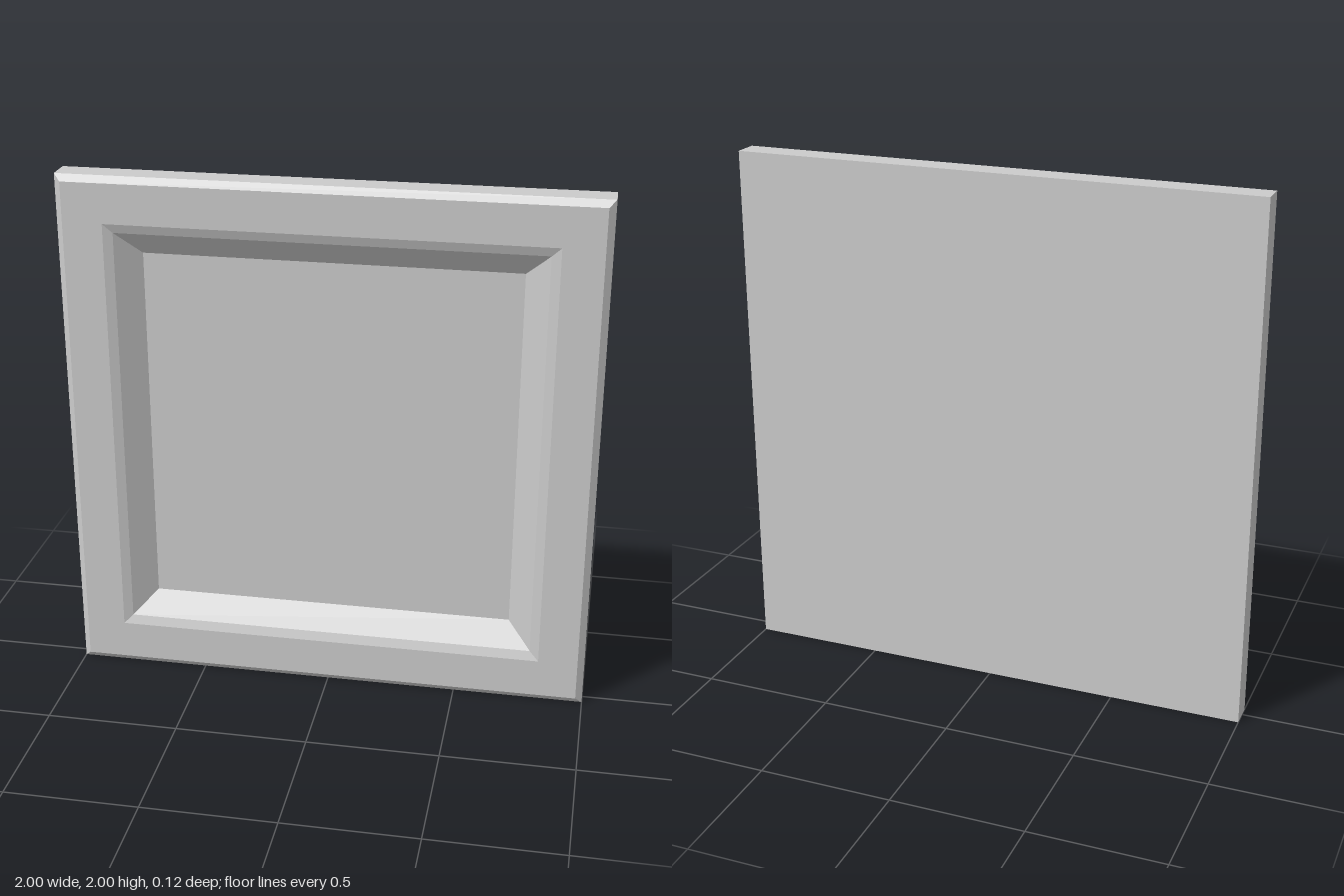
import * as THREE from 'three';

// Square rings [half size, z], from the back rim over the frame and down into the recess
const RINGS = [
  [1.0, -0.06],
  [1.0, 0.04], // outer edge
  [0.975, 0.06], // outer chamfer
  [0.825, 0.06], // flat frame face
  [0.79, 0.047], // shallow lip
  [0.7, -0.022], // steep inner slope
];
const CORNERS = [[-1, -1], [1, -1], [1, 1], [-1, 1]];

function panelGeometry() {
  const positions = [];
  const point = ([half, z], i) => {
    const [cx, cy] = CORNERS[i % 4];
    return [cx * half, 1 + cy * half, z];
  };
  const quad = (a, b, c, d) => positions.push(...a, ...b, ...c, ...a, ...c, ...d);

  // Mitred bands between neighbouring rings
  for (let r = 0; r < RINGS.length - 1; r++) {
    for (let i = 0; i < 4; i++) {
      quad(point(RINGS[r], i), point(RINGS[r], i + 1), point(RINGS[r + 1], i + 1), point(RINGS[r + 1], i));
    }
  }
  // Recessed centre and flat back
  const inner = RINGS[RINGS.length - 1];
  quad(...[0, 1, 2, 3].map((i) => point(inner, i)));
  quad(...[3, 2, 1, 0].map((i) => point(RINGS[0], i)));

  const geometry = new THREE.BufferGeometry();
  geometry.setAttribute('position', new THREE.Float32BufferAttribute(positions, 3));
  geometry.computeVertexNormals();
  return geometry;
}

export function createModel() {
  const group = new THREE.Group();
  group.name = 'recessedPanel';
  const material = new THREE.MeshStandardMaterial({ color: 0xcccccc, flatShading: true });
  const panel = new THREE.Mesh(panelGeometry(), material);
  panel.name = 'framedPanel';
  group.add(panel);
  return group;
}
